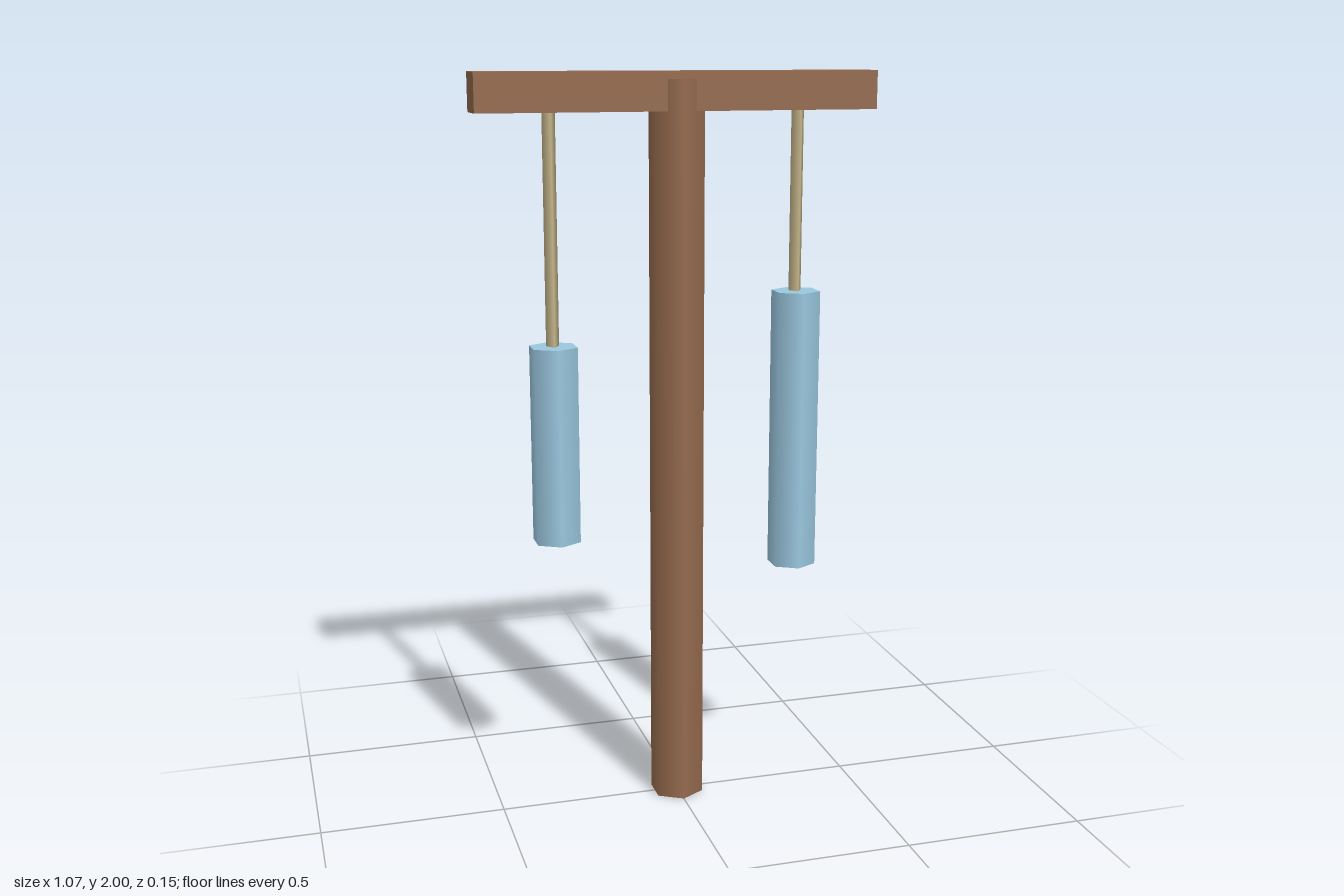
import * as THREE from 'three';

const wood = new THREE.MeshStandardMaterial({ color: 0x966b4e });
wood.name = 'wood';
const metal = new THREE.MeshStandardMaterial({ color: 0x9bc8e0 });
metal.name = 'paleBlueMetal';
const cord = new THREE.MeshStandardMaterial({ color: 0xc6b68a });
cord.name = 'cord';

// Upright prism between two heights, smooth around its sides
function prism(name, material, radius, sides, bottom, top) {
  const geometry = new THREE.CylinderGeometry(radius, radius, top - bottom, sides);
  const mesh = new THREE.Mesh(geometry, material);
  mesh.name = name;
  mesh.position.y = (bottom + top) / 2;
  return mesh;
}

// Hanging tube with its thin cord
function chime(name, x, bottom, top) {
  const group = new THREE.Group();
  group.name = name;
  group.add(prism('chimeTube', metal, 0.067, 6, bottom, top));
  group.add(prism('chimeCord', cord, 0.02, 3, top - 0.01, 1.91));
  group.position.x = x;
  return group;
}

export function createModel() {
  const model = new THREE.Group();
  model.name = 'windChimeStand';

  // Post and crossbeam
  model.add(prism('post', wood, 0.075, 6, 0, 1.98));
  const beam = new THREE.Mesh(new THREE.BoxGeometry(1.066, 0.1, 0.106), wood);
  beam.name = 'crossbeam';
  beam.position.y = 1.95;
  model.add(beam);

  // Chimes of different lengths
  model.add(chime('leftChime', 0.335, 0.65, 1.42));
  model.add(chime('rightChime', -0.335, 0.77, 1.3));

  return model;
}
